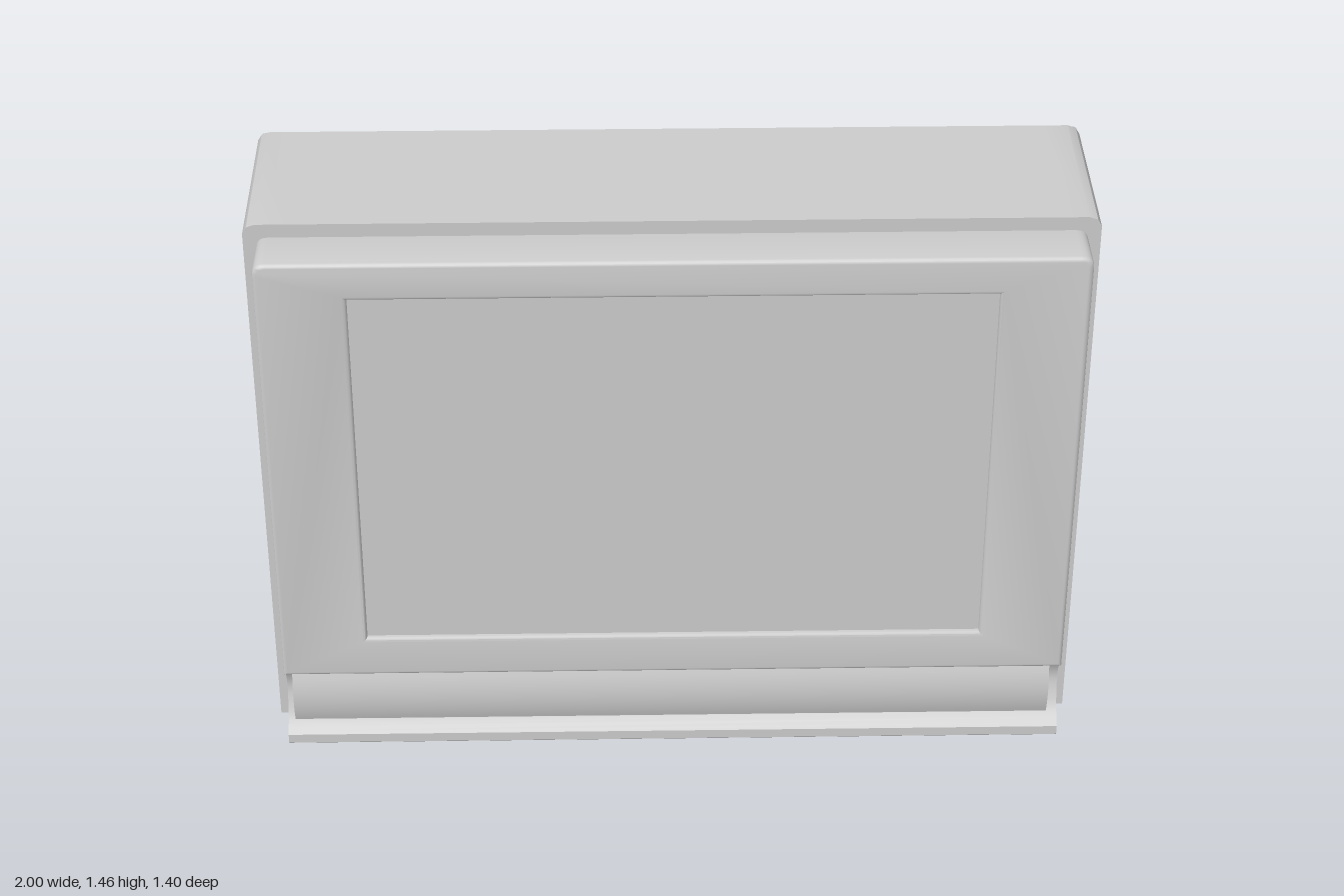
import * as THREE from 'three';
import { toCreasedNormals } from 'three/addons/utils/BufferGeometryUtils.js';

const grey = new THREE.MeshStandardMaterial({ color: 0xcccccc });
const greyDouble = new THREE.MeshStandardMaterial({ color: 0xcccccc, side: THREE.DoubleSide });

function add(group, name, geometry, material = grey) {
  const mesh = new THREE.Mesh(geometry, material);
  mesh.name = name;
  group.add(mesh);
  return mesh;
}

function fromTriangles(points) {
  const g = new THREE.BufferGeometry();
  g.setAttribute('position', new THREE.Float32BufferAttribute(points.flat(), 3));
  return toCreasedNormals(g, 0.6);
}

// Skins a stack of closed rings and caps both ends; flatten gives a counter-clockwise 2D ring
function loft(rings, flatten, skip = () => false) {
  const tris = [], n = rings[0].length;
  for (let i = 0; i < rings.length - 1; i++) {
    for (let j = 0; j < n; j++) {
      if (skip(i, j)) continue;
      const k = (j + 1) % n;
      const [a, b, c, d] = [rings[i][j], rings[i][k], rings[i + 1][k], rings[i + 1][j]];
      tris.push(a, b, c, a, c, d);
    }
  }
  const cap = (ring, flip) => {
    for (const [a, b, c] of THREE.ShapeUtils.triangulateShape(ring.map(flatten), [])) {
      tris.push(ring[a], ring[flip ? c : b], ring[flip ? b : c]);
    }
  };
  cap(rings[0], true);
  cap(rings[rings.length - 1], false);
  return fromTriangles(tris);
}

const vec = (list) => list.map(([x, y]) => new THREE.Vector2(x, y));

// Profile of [z, y] points swept from x0 to x1
function sweepX(points, x0, x1) {
  const g = new THREE.ExtrudeGeometry(new THREE.Shape(vec(points)), { depth: x1 - x0, bevelEnabled: false });
  return toCreasedNormals(g.rotateY(-Math.PI / 2).translate(x1, 0, 0), 0.6);
}

// Plan of [x, z] points raised from y0 to y1
function raise(points, y0, y1) {
  const shape = new THREE.Shape(vec(points.map(([x, z]) => [x, -z])));
  const g = new THREE.ExtrudeGeometry(shape, { depth: y1 - y0, bevelEnabled: false });
  return toCreasedNormals(g.rotateX(-Math.PI / 2).translate(0, y0, 0), 0.6);
}

// Mirrors a half outline running from front to back on the +x side
const mirrored = (half) => [...half, ...half.map(([x, ...r]) => [-x, ...r]).reverse()];

// Half plan: straight side points, then a rounded rear corner
function halfPlan(side, control, end) {
  const curve = new THREE.QuadraticBezierCurve(...vec([side[side.length - 1], control, end]));
  const corner = curve.getPoints(6).map((p) => [p.x, p.y, 1]);
  return [...side.slice(0, -1).map(([x, z]) => [x, z, 0]), ...corner];
}

// Rings of a shell whose sloping top and bottom have filleted edges
function shellRings(half, top, bottom, r, levels = []) {
  const ring = (inset, height) =>
    mirrored(half.map(([x, z, rear]) => [x - inset, height(z), z + inset * rear]));
  const steps = [0, 1, 2, 3].map((i) => (i * Math.PI) / 6);
  return [
    ...steps.map((a) => ring(r * (1 - Math.sin(a)), (z) => bottom(z) + r * (1 - Math.cos(a)))),
    ...levels.map((y) => ring(0, () => y)),
    ...steps.map((a) => ring(r * (1 - Math.cos(a)), (z) => top(z) - r * (1 - Math.sin(a)))),
  ];
}
const planFlat = ([x, , z]) => new THREE.Vector2(x, -z);

function createCabinet(group) {
  // Cross-sections along x: bowed back, sloping rear top, notch under the rear corners
  const half = [[1, 1.43, 0.135], [0.99, 1.448, 0.11], [0.97, 1.455, 0.09]];
  for (const x of [0.9, 0.8, 0.65, 0.5, 0.35, 0.2, 0.05]) {
    half.push([x, 1.455, -0.04 + 0.13 * (x / 0.97) ** 2]);
  }
  const rings = mirrored(half).reverse().map(([x, top, back]) => [
    [0.575, 0], [0.19, 0], [0.19, 0.12], [back, 0.12],
    [back, Math.min(top, 1.455 - (0.14 - back) * 0.7)], [0.14, top], [0.575, top],
  ].map(([z, y]) => [x, y, z]));
  add(group, 'cabinet', loft(rings, ([, y, z]) => new THREE.Vector2(-z, y)));
}

function createRear(group) {
  const sideX = (z) => 0.504 + (z + 0.7) * 0.412;
  const top = (z) => 1.22 - (0.05 - z) * 0.31;
  const bottom = (z) => 0.32 + (-0.22 - z) * 0.167;

  // Tapered tube housing with an opening on each side
  const side = [0.19, -0.3, -0.435, -0.62].map((z) => [sideX(z), z]);
  const rings = shellRings(halfPlan(side, [0.504, -0.7], [0.42, -0.7]), top, bottom, 0.035, [0.67, 0.77]);
  const n = rings[0].length;
  add(group, 'rearHousing', loft(rings, planFlat, (i, j) => i === 4 && (j === 1 || j === n - 3)));

  // Sloping hand grips inside the side openings
  for (const s of [1, -1]) {
    const at = (y, z, depth) => [s * (sideX(z) - depth), y, z];
    const [a, b] = [at(0.67, -0.3, 0), at(0.77, -0.3, 0)];
    const [c, d] = [at(0.67, -0.3, 0.06), at(0.77, -0.3, 0.06)];
    const [e, f] = [at(0.67, -0.435, 0), at(0.77, -0.435, 0)];
    add(group, s > 0 ? 'leftGrip' : 'rightGrip',
      fromTriangles([a, c, d, a, d, b, c, e, f, c, f, d, a, e, c, b, d, f]), greyDouble);
  }

  // Raised hump on the sloping top
  const hump = halfPlan([[0.42, 0.05], [0.285, -0.3]], [0.25, -0.38], [0.17, -0.38]);
  add(group, 'topHump', loft(
    shellRings(hump, (z) => 1.285 - (-0.03 - z) * 0.34, (z) => top(z) - 0.1, 0.025), planFlat));

  // Pedestal in three layers, the middle one notched for the connector recess
  const foot = [[sideX(0.25), 0.25], [sideX(-0.2), -0.2], [sideX(-0.21) - 0.006, -0.215], [0.68, -0.22]];
  const notched = [...foot, [0.5, -0.22], [0.5, -0.14]];
  add(group, 'pedestalBase', raise(mirrored(foot), 0, 0.03));
  add(group, 'pedestalMiddle', raise(mirrored(notched), 0.03, 0.27));
  add(group, 'pedestalTop', raise(mirrored(foot), 0.27, 0.32));
  const knob = add(group, 'connector', new THREE.CylinderGeometry(0.016, 0.016, 0.04, 16));
  knob.rotation.x = Math.PI / 2;
  knob.position.set(-0.43, 0.075, -0.155);
}

function createFront(group) {
  // Bezel with rounded top corners and a chamfered screen opening
  const w = 0.97, h = 1.42, y0 = 0.22, r = 0.03;
  const shape = new THREE.Shape();
  shape.moveTo(-w, y0).lineTo(w, y0).lineTo(w, h - r);
  shape.quadraticCurveTo(w, h, w - r, h).lineTo(-w + r, h).quadraticCurveTo(-w, h, -w, h - r);
  shape.closePath();
  shape.holes.push(new THREE.Path(vec([[-0.757, 0.333], [-0.757, 1.322], [0.757, 1.322], [0.757, 0.333]])));
  const bezel = new THREE.ExtrudeGeometry(shape, {
    depth: 0.14, bevelThickness: 0.01, bevelSize: 0.01, bevelOffset: -0.01, bevelSegments: 3, curveSegments: 6,
  });
  add(group, 'bezel', toCreasedNormals(bezel.translate(0, 0, 0.55), 0.6));

  const screen = add(group, 'screen', new THREE.BoxGeometry(1.54, 1.02, 0.1));
  screen.position.set(0, 0.8275, 0.635);

  // Lower lip with a hollow channel, and the bar lying in it
  const hollow = new THREE.SplineCurve(vec([
    [0.7, 0.03], [0.664, 0.07], [0.643, 0.14], [0.658, 0.195], [0.69, 0.225],
  ])).getPoints(16).map((p) => [p.x, p.y]);
  add(group, 'lowerLip', sweepX([[0.55, 0], [0.695, 0], [0.7, 0.005], ...hollow, [0.55, 0.225]], -w, w));
  const face = new THREE.QuadraticBezierCurve(...vec([[0.692, 0.075], [0.718, 0.147], [0.692, 0.219]]))
    .getPoints(12).map((p) => [p.x, p.y]);
  add(group, 'controlBar', sweepX([[0.655, 0.075], ...face, [0.655, 0.2], [0.64, 0.145]], -0.95, 0.94));
}

export function createModel() {
  const group = new THREE.Group();
  group.name = 'television';
  createCabinet(group);
  createRear(group);
  createFront(group);
  return group;
}
